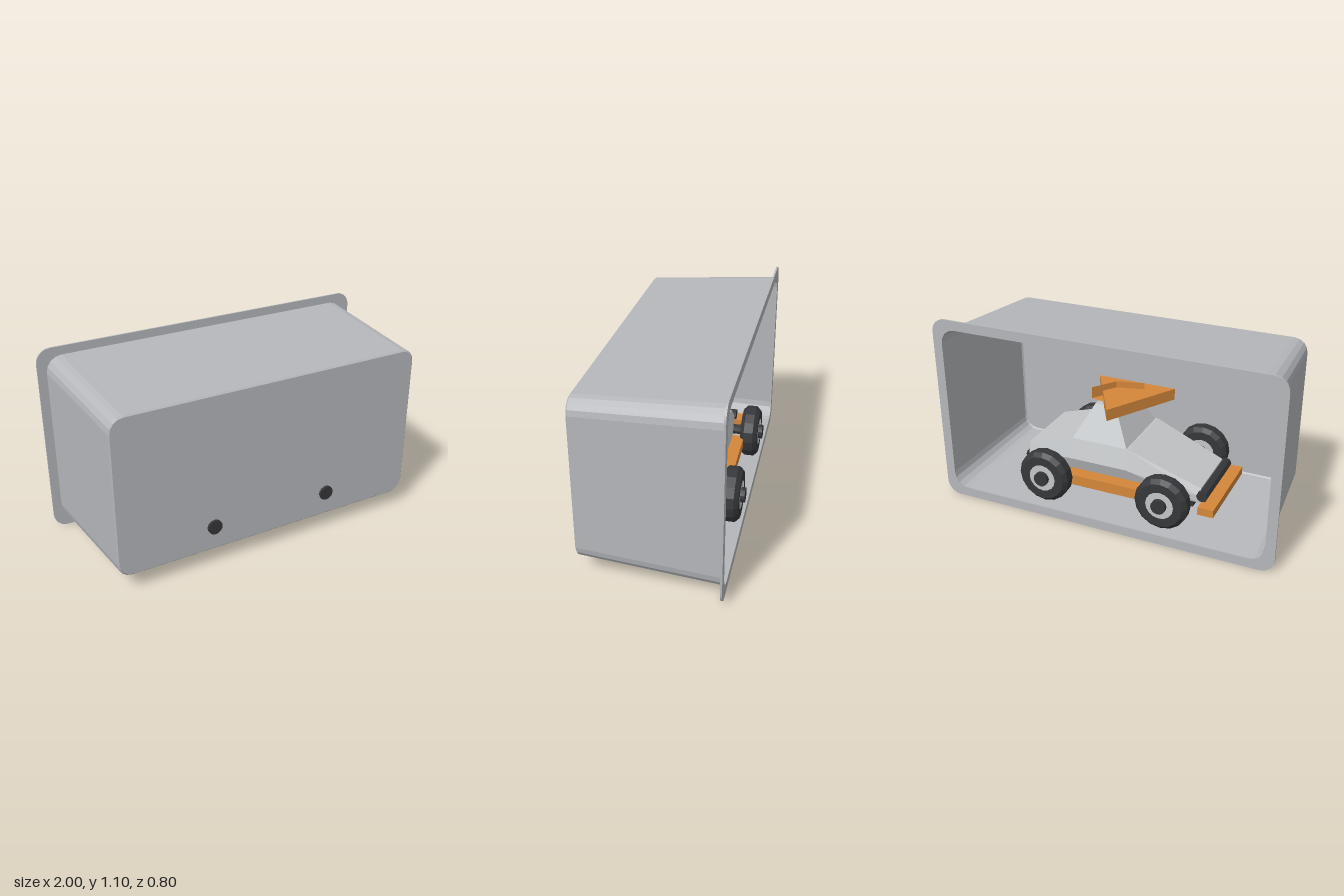
import * as THREE from 'three';

const mat = (name, color, extra = {}) => {
  const m = new THREE.MeshStandardMaterial({ color, flatShading: true, ...extra });
  m.name = name;
  return m;
};

export function createModel() {
  const shellGrey = mat('shellGrey', 0xb5b7bb, { side: THREE.DoubleSide });
  const hullGrey = mat('hullGrey', 0xc3c6c8);
  const orange = mat('orange', 0xd4873a);
  const black = mat('black', 0x36373a);
  const root = new THREE.Group();

  const add = (parent, name, geometry, material, x = 0, y = 0, z = 0) => {
    const mesh = new THREE.Mesh(geometry, material);
    mesh.name = name;
    mesh.position.set(x, y, z);
    parent.add(mesh);
    return mesh;
  };
  const box = (parent, name, w, h, d, m, x, y, z) =>
    add(parent, name, new THREE.BoxGeometry(w, h, d), m, x, y, z);

  // Rounded rectangle outline, counter-clockwise
  const outline = (hw, hh, r, n = 4) => {
    const pts = [];
    [[1, 1], [-1, 1], [-1, -1], [1, -1]].forEach(([sx, sy], c) => {
      for (let i = 0; i <= n; i++) {
        const a = (c + i / n) * Math.PI / 2;
        pts.push(new THREE.Vector2(sx * (hw - r) + r * Math.cos(a), sy * (hh - r) + r * Math.sin(a)));
      }
    });
    return pts;
  };

  // Joins equal cross-section loops, with optional end caps
  const loft = (loops, capStart, capEnd) => {
    const n = loops[0].length, index = [];
    for (let k = 0; k < loops.length - 1; k++)
      for (let i = 0; i < n; i++) {
        const a = k * n + i, b = k * n + (i + 1) % n;
        index.push(a, b, b + n, a, b + n, a + n);
      }
    const e = (loops.length - 1) * n;
    for (let i = 1; i < n - 1; i++) {
      if (capStart) index.push(0, i + 1, i);
      if (capEnd) index.push(e, e + i, e + i + 1);
    }
    const g = new THREE.BufferGeometry();
    g.setAttribute('position', new THREE.Float32BufferAttribute(loops.flat(2), 3));
    g.setIndex(index);
    const flat = g.toNonIndexed();
    flat.computeVertexNormals();
    return flat;
  };

  // Tapered tray, open at the back, with a flat rim
  const tray = new THREE.Group();
  tray.name = 'tray';
  root.add(tray);
  const rings = [[-0.38, 0.95, 0.5, 0.09], [0.377, 0.908, 0.456, 0.08], [0.385, 0.9, 0.448, 0.074]];
  add(tray, 'trayShell', loft(rings.map(([z, w, h, r]) =>
    outline(w, h, r).map(p => [p.x, p.y, z])), false, true), shellGrey, 0, 0.552, 0);
  const rim = new THREE.Shape(outline(1, 0.55, 0.08, 6));
  rim.holes.push(new THREE.Path(outline(0.945, 0.495, 0.085).reverse()));
  add(tray, 'trayRim', new THREE.ExtrudeGeometry(rim, { depth: 0.01, bevelEnabled: false }),
    shellGrey, 0, 0.55, -0.385);

  // Vehicle, nose towards -x
  const car = new THREE.Group();
  car.name = 'vehicle';
  root.add(car);

  // Faceted hull: x, belt height, belt half width, deck height, deck half width
  const hull = [
    [-0.52, 0.24, 0.2, 0.28, 0.18], [-0.1, 0.33, 0.25, 0.44, 0.215],
    [0.25, 0.33, 0.25, 0.44, 0.215], [0.52, 0.29, 0.23, 0.36, 0.21],
  ].map(([x, yb, zb, yt, zt]) =>
    [[x, 0.2, -0.2], [x, yb, -zb], [x, yt, -zt], [x, yt, zt], [x, yb, zb], [x, 0.2, 0.2]].reverse());
  hull.forEach(loop => loop.reverse());
  add(car, 'hull', loft(hull, true, true), hullGrey);

  // Cabin frustum
  const slab = (y, x0, x1, z) => [[x0, y, z], [x1, y, z], [x1, y, -z], [x0, y, -z]];
  add(car, 'cabin', loft([slab(0.43, -0.095, 0.247, 0.215), slab(0.63, 0.02, 0.145, 0.11)], true, true), hullGrey);

  // Three-pointed roof piece with a raised wedge
  const roof = add(car, 'roofTriangle', new THREE.CylinderGeometry(0.27, 0.27, 0.066, 3), orange, 0, 0.655, 0);
  roof.rotation.y = Math.PI;
  const plan = [[0.165, -0.11], [-0.03, -0.16], [-0.08, 0.06], [0.075, 0.02]];
  add(car, 'roofWedge', loft([0.66, 0.725].map(y => plan.map(([x, z]) => [x, y, z]).reverse()), true, true), orange);

  // Chassis with ribbed underside
  box(car, 'chassis', 0.96, 0.06, 0.38, black, 0, 0.19, 0);
  for (let i = 0; i < 12; i++)
    box(car, 'underRib', 0.02, 0.015, 0.38, black, -0.44 + i * 0.08, 0.155, 0);

  // Bumpers and bars
  box(car, 'frontBumper', 0.09, 0.045, 0.52, orange, -0.575, 0.185, 0);
  box(car, 'bumperMount', 0.12, 0.03, 0.16, black, -0.5, 0.19, 0);
  for (const [name, x, y] of [['frontBar', -0.535, 0.245], ['rearBar', 0.52, 0.27]])
    add(car, name, new THREE.CylinderGeometry(0.032, 0.032, 0.42, 8), black, x, y, 0).rotation.x = Math.PI / 2;

  // Sills, axles and wheels
  const tyreProfile = [[0.08, -0.05], [0.13, -0.05], [0.153, -0.027], [0.153, 0.027], [0.13, 0.05], [0.08, 0.05]]
    .map(p => new THREE.Vector2(...p));
  const tyre = new THREE.LatheGeometry(tyreProfile, 16);
  const rimDisc = new THREE.CylinderGeometry(0.087, 0.087, 0.096, 16);
  const hub = new THREE.CylinderGeometry(0.042, 0.042, 0.13, 16);
  for (const s of [1, -1]) {
    box(car, 'sill', 0.5, 0.06, 0.1, orange, 0, 0.225, s * 0.25);
    box(car, 'lowerSill', 0.46, 0.04, 0.06, orange, 0, 0.18, s * 0.22);
    for (const x of [-0.355, 0.355]) {
      const wheel = new THREE.Group();
      wheel.name = 'wheel';
      wheel.position.set(x, 0.24, s * 0.328);
      wheel.rotation.x = s * Math.PI / 2;
      car.add(wheel);
      add(wheel, 'tyre', tyre, black);
      add(wheel, 'wheelRim', rimDisc, hullGrey);
      add(wheel, 'hubCap', hub, black, 0, 0.006, 0);
    }
  }
  for (const x of [-0.355, 0.355])
    add(car, 'axle', new THREE.CylinderGeometry(0.03, 0.03, 0.56, 8), black, x, 0.24, 0).rotation.x = Math.PI / 2;

  return root;
}
